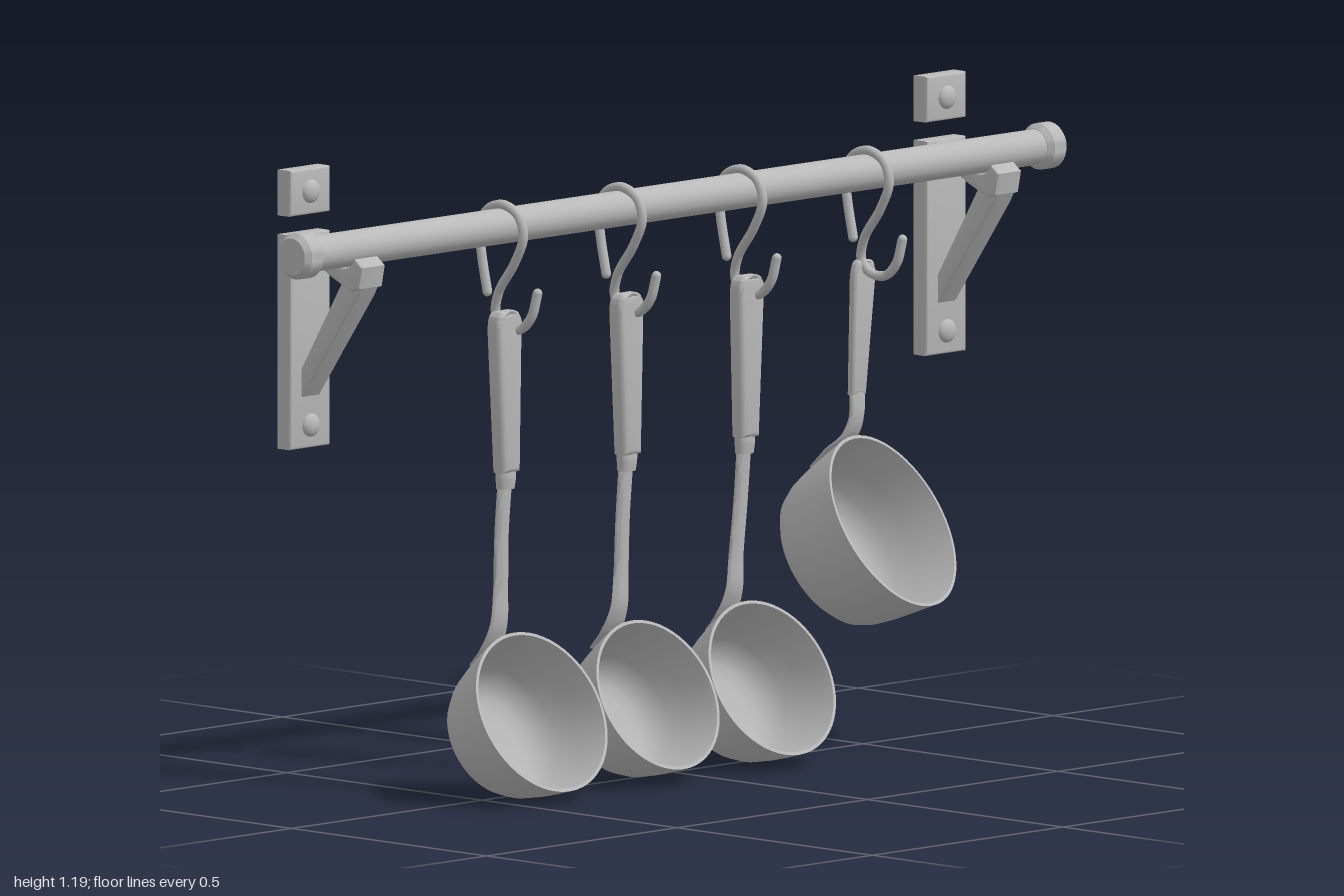
import * as THREE from 'three';
import { toCreasedNormals } from 'three/addons/utils/BufferGeometryUtils.js';

const metal = new THREE.MeshStandardMaterial({ color: 0xb9b9b9 });
metal.name = 'grey metal';

function add(parent, name, geometry, x = 0, y = 0, z = 0) {
  const mesh = new THREE.Mesh(geometry, metal);
  mesh.name = name;
  mesh.position.set(x, y, z);
  parent.add(mesh);
  return mesh;
}

const v2 = (pairs) => pairs.map(([a, b]) => new THREE.Vector2(a, b));

// Extruded outline with a small bevel, centred on its depth
function plate(shape, depth, bevel) {
  const g = new THREE.ExtrudeGeometry(shape, {
    depth: depth - 2 * bevel, bevelSize: bevel, bevelThickness: bevel,
    bevelOffset: -bevel, bevelSegments: 3, curveSegments: 16,
  });
  g.translate(0, 0, bevel - depth / 2);
  return toCreasedNormals(g, 0.6);
}

// Oval bar running down through stations of [x, y, z, width, thickness]
function strap(stations) {
  const path = new THREE.CatmullRomCurve3(stations.map((s) => new THREE.Vector3(s[0], s[1], s[2])));
  const rows = 32, n = stations.length - 1;
  const g = new THREE.CylinderGeometry(1, 1, 1, 16, rows);
  const pos = g.attributes.position;
  for (let i = 0; i < pos.count; i++) {
    const u = THREE.MathUtils.clamp(0.5 - pos.getY(i), 0, 1);
    const k = Math.min(Math.floor(u * n), n - 1), f = u * n - k;
    const mix = (c) => THREE.MathUtils.lerp(stations[k][c], stations[k + 1][c], f);
    const p = path.getPoint(u), t = path.getTangent(u);
    const out = new THREE.Vector3(0, t.z, -t.y).normalize().multiplyScalar(pos.getZ(i) * mix(4) / 2);
    p.add(out);
    pos.setXYZ(i, p.x + pos.getX(i) * mix(3) / 2, p.y, p.z);
  }
  return toCreasedNormals(g, 0.9);
}

// Hollow round vessel whose mouth faces the given direction
function vessel(parent, name, outer, wall, centre, facing) {
  const inner = outer.slice().reverse().map(([r, y]) => [Math.max(r - wall, 0), y === 0 ? 0 : y + wall]);
  const g = toCreasedNormals(new THREE.LatheGeometry(v2([...outer, ...inner]), 56), 0.7);
  const mesh = add(parent, name, g, ...centre);
  mesh.quaternion.setFromUnitVectors(new THREE.Vector3(0, 1, 0), new THREE.Vector3(...facing).normalize());
}

// S-shaped hook over the rail
function hook(parent, x, lean) {
  const pts = [[-0.035, 0.95], [-0.05, 1.02], [-0.055, 1.07], [-0.035, 1.102], [0.005, 1.115], [0.045, 1.097],
    [0.057, 1.06], [0.035, 1.01], [-0.01, 0.95], [-0.02, 0.91], [0, 0.887], [0.035, 0.885], [0.06, 0.91], [0.072, 0.955]];
  const path = pts.map(([z, y], i) => new THREE.Vector3(x + (i < 8 ? 0 : (lean * (i - 7)) / 6), y, z));
  add(parent, 'hook', new THREE.TubeGeometry(new THREE.CatmullRomCurve3(path), 90, 0.009, 10));
  [path[0], path[13]].forEach((p) => add(parent, 'hookTip', new THREE.SphereGeometry(0.009, 10, 8), p.x, p.y, p.z));
}

// Flat tapered grip with a hanging eye, base at y = 0
function grip(bottomWidth, topWidth, length, thickness) {
  const b = bottomWidth / 2, t = topWidth / 2, s = new THREE.Shape();
  s.moveTo(-b, 0);
  s.lineTo(b, 0);
  s.lineTo(t, length - 0.04);
  s.quadraticCurveTo(t, length, t * 0.5, length);
  s.lineTo(-t * 0.5, length);
  s.quadraticCurveTo(-t, length, -t, length - 0.04);
  s.closePath();
  const eye = new THREE.Path();
  eye.absarc(0, length - 0.026, 0.016, 0, Math.PI * 2, true);
  s.holes.push(eye);
  return plate(s, thickness, Math.min(0.011, thickness * 0.4));
}

// Ladle with a round bowl, slim neck and thick grip
function ladle(parent, bowlX, topX, neckX, r) {
  const g = new THREE.Group();
  g.name = 'ladle';
  const k = r / 0.157;
  const profile = [[0, -0.155], [0.065, -0.155], [0.09, -0.151], [0.112, -0.137], [0.128, -0.11], [0.141, -0.07],
    [0.151, -0.03], [0.157, 0]].map(([a, y]) => [a * k, y]);
  vessel(g, 'bowl', profile, 0.006, [bowlX, 0.18, 0.08], [0, 0.45, 0.89]);
  const midX = (topX + neckX) / 2;
  add(g, 'neck', strap([
    [midX, 0.62, 0.01, 0.034, 0.018], [midX, 0.5, 0, 0.034, 0.016], [neckX, 0.4, -0.008, 0.036, 0.015],
    [neckX, 0.335, -0.013, 0.044, 0.014], [neckX, 0.29, -0.033, 0.055, 0.012], [neckX, 0.255, -0.066, 0.045, 0.01],
  ]));
  const handle = add(g, 'grip', grip(0.044, 0.064, 0.3, 0.038), midX, 0.62, 0.013);
  handle.rotation.z = Math.atan2(midX - topX, 0.3);
  add(g, 'collar', strap([[midX, 0.63, 0.011, 0.043, 0.033], [midX, 0.61, 0.011, 0.043, 0.033], [midX, 0.59, 0.01, 0.04, 0.028]]));
  parent.add(g);
}

// Wall bracket with plates, screws, cradle and brace
function bracket(parent, x) {
  const g = new THREE.Group();
  g.name = 'bracket';
  g.position.x = x;
  const block = (w, h) => plate(new THREE.Shape(v2([[-w / 2, -h / 2], [w / 2, -h / 2], [w / 2, h / 2], [-w / 2, h / 2]])), 0.038, 0.005);
  add(g, 'wallPlate', block(0.104, 0.398), 0, 0.892, -0.131);
  add(g, 'topPlate', block(0.104, 0.085), 0, 1.168, -0.131);
  [0.735, 1.168].forEach((y) => {
    const screw = add(g, 'screwHead', new THREE.SphereGeometry(0.022, 20, 8, 0, Math.PI * 2, 0, Math.PI / 2), 0, y, -0.113);
    screw.rotation.x = Math.PI / 2;
    screw.scale.y = 0.6;
  });
  const side = (shape, width) => plate(shape, width, 0.004).rotateY(-Math.PI / 2);
  const cradle = new THREE.Shape(v2([[-0.115, 1.088], [-0.075, 1.08], [-0.06, 1.07]]));
  cradle.absarc(0, 1.075, 0.034, Math.PI * 1.05, Math.PI * 1.85, false);
  [[0.05, 1.045], [0.042, 1.005], [0.02, 0.998], [-0.03, 1.02], [-0.07, 1.042], [-0.115, 1.045]].forEach((p) => cradle.lineTo(...p));
  add(g, 'cradle', side(cradle, 0.062));
  add(g, 'brace', side(new THREE.Shape(v2([[0.042, 1.01], [0.03, 0.988], [-0.115, 0.785], [-0.115, 0.84], [-0.01, 1.012], [0.01, 1.03]])), 0.048));
  parent.add(g);
}

export function createModel() {
  const model = new THREE.Group();
  model.name = 'hangingUtensilRack';

  // Rail and its end caps
  add(model, 'rail', new THREE.CylinderGeometry(0.033, 0.033, 1.96, 32), 0, 1.075, 0).rotation.z = Math.PI / 2;
  const knob = toCreasedNormals(new THREE.LatheGeometry(v2([[0, -0.025], [0.034, -0.025], [0.043, -0.015],
    [0.043, 0.015], [0.034, 0.025], [0, 0.025]]), 32), 0.5);
  for (const s of [-1, 1]) {
    add(model, 'endCap', knob, s * 0.975, 1.075, 0).rotation.z = Math.PI / 2;
    bracket(model, s * 0.835);
  }

  // Three ladles: bowl x, top x, neck x, bowl radius
  [[-0.425, -0.455, -0.443, 0.157], [-0.12, -0.135, -0.127, 0.147], [0.18, 0.182, 0.175, 0.152]].forEach((l) => ladle(model, ...l));

  // Saucepan with a thin handle
  const pan = new THREE.Group();
  pan.name = 'saucepan';
  vessel(pan, 'panBody', [[0, -0.175], [0.1, -0.175], [0.12, -0.17], [0.138, -0.155], [0.15, -0.13], [0.16, -0.09], [0.174, 0]],
    0.006, [0.512, 0.435, 0.065], [0.2, 0.5, 0.84]);
  add(pan, 'panNeck', strap([[0.507, 0.68, -0.022, 0.038, 0.018], [0.503, 0.62, -0.02, 0.036, 0.017],
    [0.499, 0.585, -0.033, 0.044, 0.015], [0.495, 0.558, -0.062, 0.066, 0.012], [0.49, 0.523, -0.1, 0.055, 0.01]]));
  add(pan, 'panHandle', grip(0.037, 0.056, 0.25, 0.02), 0.506, 0.66, -0.022).rotation.z = -0.07;
  model.add(pan);

  // Hooks
  [[-0.45, 0.022], [-0.138, 0.022], [0.178, 0.022], [0.51, 0.02]].forEach(([x, lean]) => hook(model, x, lean));
  return model;
}
